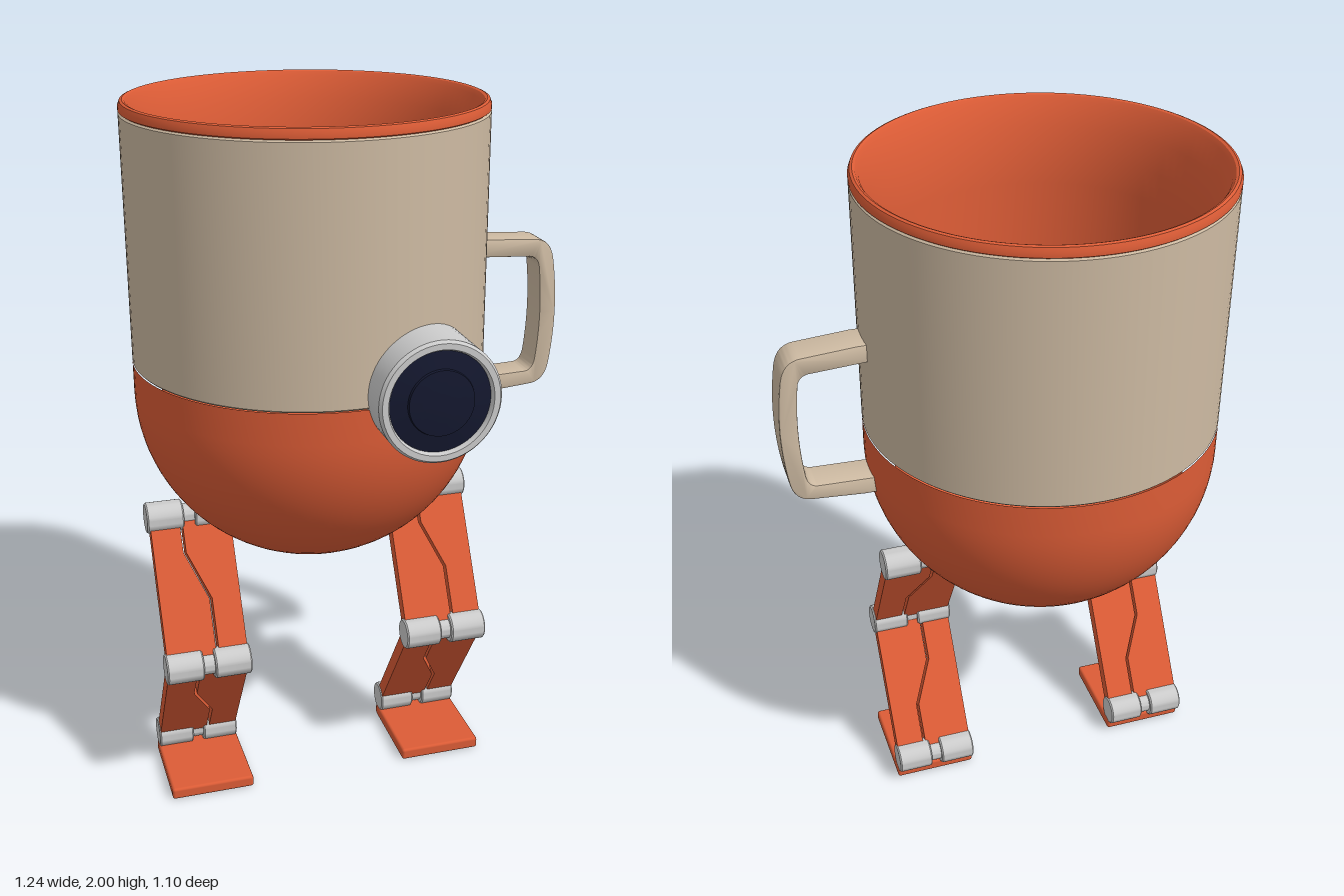
import * as THREE from 'three';
import { toCreasedNormals } from 'three/addons/utils/BufferGeometryUtils.js';
import { RoundedBoxGeometry } from 'three/addons/geometries/RoundedBoxGeometry.js';

const material = (color) => new THREE.MeshStandardMaterial({ color });
const orange = material(0xdc5c36);
const beige = material(0xcdbaa2);
const grey = material(0xcccccc);
const navy = material(0x14182f);

const AXIS_X = -0.12, AXIS_Z = -0.05, RADIUS = 0.497;

function add(parent, name, geometry, mat, x = 0, y = 0, z = 0) {
  const mesh = new THREE.Mesh(geometry, mat);
  mesh.name = name;
  mesh.position.set(x, y, z);
  parent.add(mesh);
  return mesh;
}

function lathe(points, segments = 96) {
  const profile = points.map(([r, y]) => new THREE.Vector2(r, y));
  return toCreasedNormals(new THREE.LatheGeometry(profile, segments), 0.5);
}

// Quarter circle from the bottom pole up to the equator
function bowlProfile(r, centreY, steps = 24) {
  return Array.from({ length: steps + 1 }, (_, i) => {
    const a = (i / steps) * Math.PI / 2;
    return [r * Math.sin(a), centreY - r * Math.cos(a)];
  });
}

function createCup() {
  const cup = new THREE.Group();
  cup.name = 'cup';
  cup.position.set(AXIS_X, 0, AXIS_Z);
  add(cup, 'lowerBowl', lathe([...bowlProfile(RADIUS, 1.19), [RADIUS, 1.28]]), orange);
  add(cup, 'upperWall', lathe([[RADIUS - 0.005, 1.28], [RADIUS, 1.285], [RADIUS, 1.965], [RADIUS - 0.005, 1.97]]), beige);
  // Rim rolls over into the lining, which ends in a rounded floor
  const rim = [[0.49, 1.968], [RADIUS, 1.973], [RADIUS, 1.985], [0.492, 1.997], [0.485, 2], [0.478, 1.997],
    [0.47, 1.985], [0.445, 1.92], [0.428, 1.84], [0.42, 1.76]];
  add(cup, 'rimAndLining', lathe([...rim, ...bowlProfile(0.42, 1.19).reverse()]), orange);
  return cup;
}

function createHandle() {
  const s = new THREE.Shape();
  s.moveTo(0.345, 1.58);
  s.lineTo(0.4, 1.58);
  s.lineTo(0.55, 1.57);
  s.quadraticCurveTo(0.595, 1.565, 0.605, 1.51);
  s.quadraticCurveTo(0.632, 1.35, 0.605, 1.19);
  s.quadraticCurveTo(0.595, 1.135, 0.55, 1.13);
  s.lineTo(0.4, 1.117);
  s.lineTo(0.345, 1.117);
  s.lineTo(0.345, 1.165);
  s.lineTo(0.53, 1.172);
  s.quadraticCurveTo(0.555, 1.175, 0.56, 1.21);
  s.quadraticCurveTo(0.578, 1.35, 0.56, 1.49);
  s.quadraticCurveTo(0.555, 1.517, 0.53, 1.52);
  s.lineTo(0.345, 1.53);
  const geometry = new THREE.ExtrudeGeometry(s, {
    depth: 0.088, curveSegments: 12, bevelThickness: 0.005, bevelSize: 0.004, bevelOffset: -0.004, bevelSegments: 2,
  });
  return toCreasedNormals(geometry, 0.5).translate(0, 0, -0.094);
}

function createEye() {
  const eye = new THREE.Group();
  eye.name = 'eye';
  eye.position.set(0.07, 1.315, 0);
  // Housing: its rear edge is moved back to meet the round wall
  const housing = lathe([[0.165, 0], [0.165, 0.535], [0.158, 0.545], [0.142, 0.545], [0.137, 0.535], [0.137, 0.515]], 64);
  housing.rotateX(Math.PI / 2);
  const p = housing.attributes.position;
  for (let i = 0; i < p.count; i++) {
    if (p.getZ(i) > 0.01) continue;
    const dx = p.getX(i) + 0.07 - AXIS_X;
    p.setZ(i, AXIS_Z + Math.sqrt(0.475 ** 2 - dx * dx));
  }
  add(eye, 'eyeHousing', housing, grey);
  const glass = lathe([[0.138, 0.53], [0.09, 0.539], [0.088, 0.546], [0.05, 0.549], [0, 0.55]], 64);
  add(eye, 'eyeLens', glass.rotateX(Math.PI / 2), navy);
  return eye;
}

// Hinge barrel: two drums joined by a thinner pin, along x
function createJoint(name, y, z, width) {
  const h = width / 2, r = 0.045, pin = 0.031, gap = 0.016, b = 0.004;
  const profile = [[0, -h], [r - b, -h], [r, -h + b], [r, -gap - b], [r - b, -gap], [pin, -gap],
    [pin, gap], [r - b, gap], [r, gap + b], [r, h - b], [r - b, h], [0, h]];
  const joint = new THREE.Mesh(lathe(profile, 32).rotateZ(-Math.PI / 2), grey);
  joint.name = name;
  joint.position.set(0, y, z);
  return joint;
}

// Flat limb made of two plates parted by a kinked seam
function createLimb(name, low, high, kinkLow, kinkHigh) {
  const limb = new THREE.Group();
  limb.name = name;
  const dy = high[0] - low[0], dz = high[1] - low[1];
  const length = Math.hypot(dy, dz), trim = 0.02, half = 0.117, seam = 0.004;
  limb.position.set(0, low[0], low[1]);
  limb.rotation.x = Math.atan2(dz, dy);
  for (const side of [-1, 1]) {
    const o = side * seam;
    const outline = [[side * half, trim], [0.03 + o, trim], [0.03 + o, length * kinkLow],
      [-0.0275 + o, length * kinkHigh], [-0.0275 + o, length - trim], [side * half, length - trim]];
    const geometry = new THREE.ExtrudeGeometry(
      new THREE.Shape(outline.map(([x, y]) => new THREE.Vector2(x, y))), { depth: 0.04, bevelEnabled: false });
    add(limb, name + 'Plate', geometry, orange, 0, 0, -0.02);
  }
  return limb;
}

function createLeg(name, x, side) {
  const leg = new THREE.Group();
  leg.name = name;
  leg.position.x = x;
  const hip = [0.82, -0.05], knee = [0.44, 0.165], ankle = [0.07, -0.09];
  const hipJoint = createJoint('hipJoint', ...hip, 0.245);
  hipJoint.position.x = side * 0.003;
  leg.add(hipJoint);
  leg.add(createJoint('kneeJoint', ...knee, 0.245));
  leg.add(createJoint('ankleJoint', ...ankle, 0.24));
  leg.add(createLimb('thigh', knee, hip, 0.42, 0.74));
  leg.add(createLimb('shin', ankle, knee, 0.35, 0.65));
  add(leg, 'foot', new RoundedBoxGeometry(0.245, 0.035, 0.28, 2, 0.008), orange, 0, 0.0175, 0.035);
  return leg;
}

export function createModel() {
  const model = new THREE.Group();
  model.name = 'walkingCup';
  model.add(createCup());
  add(model, 'handle', createHandle(), beige);
  model.add(createEye());
  model.add(createLeg('leftLeg', 0.228, 1));
  model.add(createLeg('rightLeg', -0.487, -1));
  return model;
}
